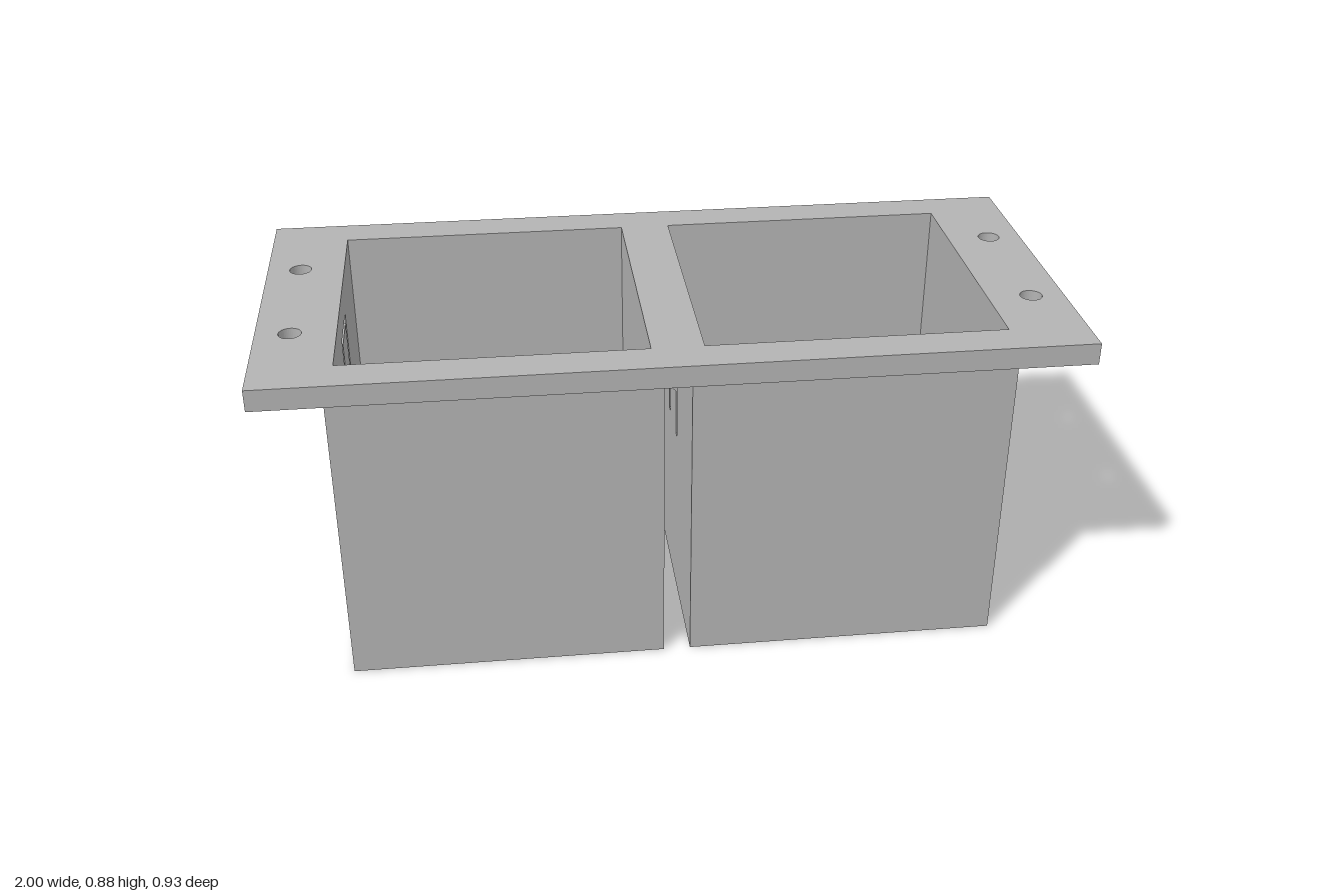
import * as THREE from 'three';

const grey = new THREE.MeshStandardMaterial({ color: 0xb3b3b3 });
grey.name = 'grey plastic';

function add(parent, name, geometry, x = 0, y = 0, z = 0) {
  const mesh = new THREE.Mesh(geometry, grey);
  mesh.name = name;
  mesh.position.set(x, y, z);
  parent.add(mesh);
  return mesh;
}

const points = (list) => list.map(([x, y]) => new THREE.Vector2(x, y));
const rect = (x0, x1, y0, y1) => points([[x0, y0], [x1, y0], [x1, y1], [x0, y1]]);

function extrude(outline, depth, holes = []) {
  const shape = new THREE.Shape(outline);
  shape.holes = holes;
  return new THREE.ExtrudeGeometry(shape, { depth, bevelEnabled: false, curveSegments: 20 });
}

// Extrusion standing up along +y, with outline y pointing to -z
const upright = (outline, height, holes) => extrude(outline, height, holes).rotateX(-Math.PI / 2);

const circle = (x, y, r) => new THREE.Path().absarc(x, y, r, 0, Math.PI * 2, true);

// Pocket dimensions, relative to the pocket centre
const pocketX = 0.434, innerX = 0.37, innerZ = 0.364;
const outerX = 0.4, backZ = -0.37, frontZ = 0.382;
const wallTop = 0.82, plateTop = 0.875;

// Screw post for an inside corner, occupying +x and -z from that corner
function createPost() {
  const post = new THREE.Group();
  post.name = 'screwPost';
  const w = 0.145, c = 0.036, hole = () => [circle(w / 2, w / 2, 0.042)];
  add(post, 'postFoot', upright(rect(0, w, 0, w), 0.05, hole()), 0, 0.13, 0);
  const chamfered = points([[0, 0], [w, 0], [w, w - c], [w - c, w], [0, w]]);
  add(post, 'postShaft', upright(chamfered, 0.11, hole()), 0, 0.18, 0);
  // Support that tapers upward into the corner
  let taper = new THREE.BoxGeometry(w, 0.25, w).translate(w / 2, 0.125, -w / 2).toNonIndexed();
  const p = taper.attributes.position;
  for (let i = 0; i < p.count; i++) {
    if (p.getY(i) > 0.1) p.setXYZ(i, p.getX(i) * 0.14, p.getY(i), p.getZ(i) * 0.14);
  }
  taper.computeVertexNormals();
  add(post, 'postTaper', taper, 0, 0.29, 0);
  return post;
}

function createPocket() {
  const pocket = new THREE.Group();
  pocket.name = 'pocket';

  // Plain walls
  const depth = frontZ - backZ, midZ = (frontZ + backZ) / 2, t = outerX - innerX;
  add(pocket, 'leftWall', new THREE.BoxGeometry(t, wallTop, depth), innerX + t / 2, wallTop / 2, midZ);
  for (const [name, z0, z1] of [['frontWall', innerZ, frontZ], ['backWall', backZ, -innerZ]]) {
    add(pocket, name, new THREE.BoxGeometry(innerX * 2, wallTop, z1 - z0), 0, wallTop / 2, (z0 + z1) / 2);
  }

  // Wall with an upside-down U slot that frees a springy tongue
  const a = 0.08, b = 0.062, low = 0.47, high = 0.8, cz = 0.01;
  const slot = new THREE.Path(points([
    [cz - a, low], [cz - a, high], [cz + a, high], [cz + a, low],
    [cz + b, low], [cz + b, high - 0.02], [cz - b, high - 0.02], [cz - b, low],
  ]));
  const slotted = extrude(rect(backZ, frontZ, 0, wallTop), t, [slot]).rotateY(-Math.PI / 2);
  add(pocket, 'slottedWall', slotted, -innerX);

  // Catch on the outside of the tongue
  const catchOutline = points([[0, 0.595], [0, 0.77], [-0.027, 0.74], [-0.027, 0.62]]);
  add(pocket, 'catch', extrude(catchOutline.reverse(), b * 2), -outerX, 0, cz - b);

  // Rib with a pointed top on the front wall
  const rib = points([[-0.065, 0.35], [0.065, 0.35], [0.065, 0.73], [0, 0.795], [-0.065, 0.73]]);
  add(pocket, 'pointedRib', extrude(rib, 0.07), 0, 0, innerZ - 0.07);

  // Posts in the two front corners
  for (const side of [-1, 1]) {
    const post = createPost();
    post.position.set(side * innerX, 0, innerZ);
    if (side > 0) post.rotation.y = Math.PI / 2;
    pocket.add(post);
  }
  return pocket;
}

export function createModel() {
  const model = new THREE.Group();
  model.name = 'twinPocketHousing';

  // Top flange with two openings and four screw holes
  const holes = [];
  for (const side of [-1, 1]) {
    const cx = side * pocketX;
    holes.push(new THREE.Path(rect(cx - innerX, cx + innerX, -innerZ, innerZ)));
    for (const z of [-0.185, 0.185]) holes.push(circle(side * 0.916, z, 0.028));
  }
  add(model, 'flange', upright(rect(-1, 1, -0.464, 0.464), plateTop - wallTop, holes), 0, wallTop, 0);

  for (const side of [-1, 1]) {
    const pocket = createPocket();
    pocket.position.x = side * pocketX;
    model.add(pocket);
  }
  return model;
}
